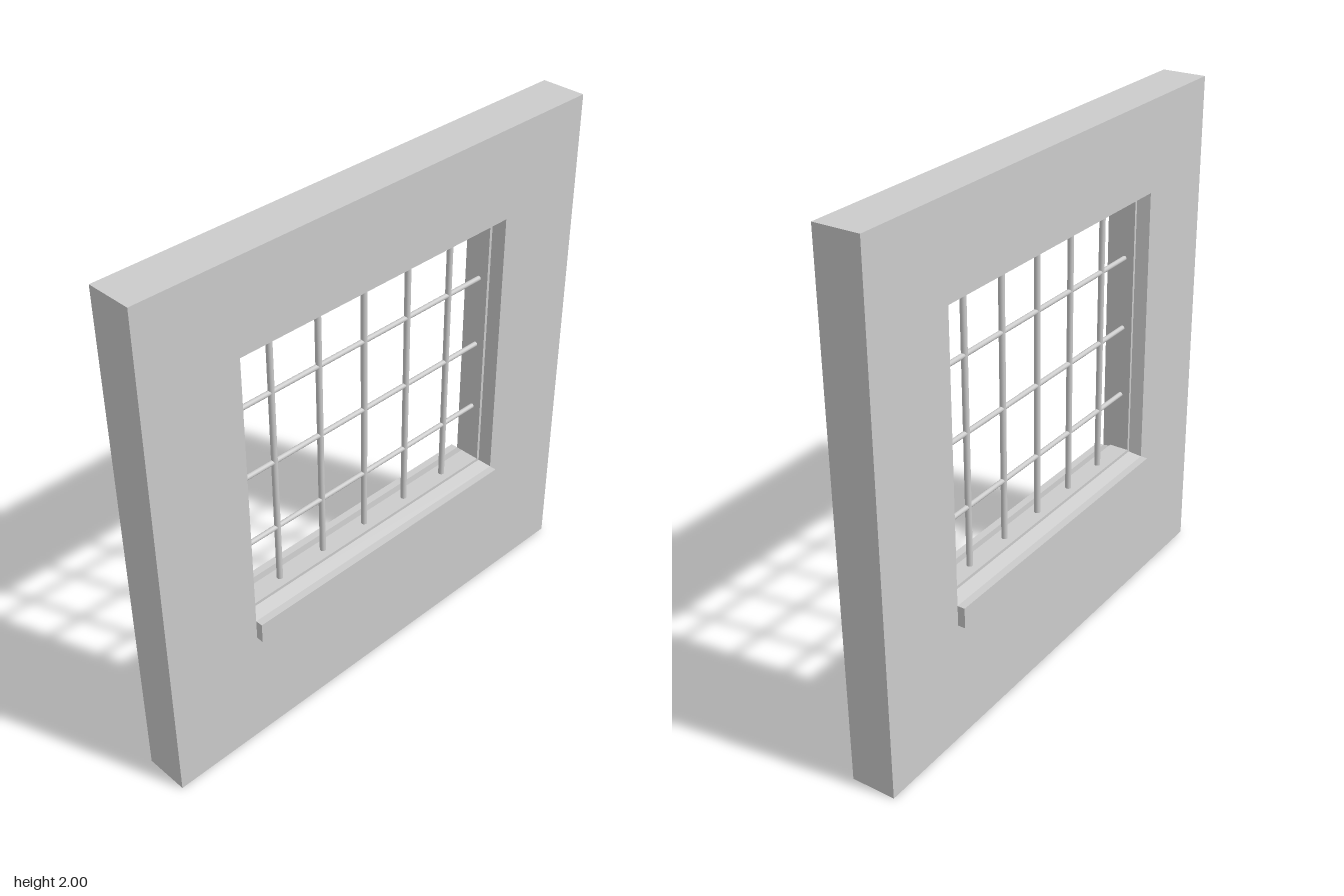
import * as THREE from 'three';

const material = new THREE.MeshStandardMaterial({ color: 0xcccccc, flatShading: true });
const smooth = new THREE.MeshStandardMaterial({ color: 0xcccccc });

// Rectangular ring of four corners, counter-clockwise from the front
const ring = (halfWidth, bottom, top, z) => [
  [-halfWidth, bottom, z], [halfWidth, bottom, z], [halfWidth, top, z], [-halfWidth, top, z],
];

// Skin a sequence of rings with flat quads
function skin(rings) {
  const positions = [];
  for (let r = 0; r < rings.length - 1; r++) {
    const a = rings[r], b = rings[r + 1];
    for (let i = 0; i < 4; i++) {
      const j = (i + 1) % 4;
      for (const p of [a[i], b[i], b[j], a[i], b[j], a[j]]) positions.push(...p);
    }
  }
  const geometry = new THREE.BufferGeometry();
  geometry.setAttribute('position', new THREE.Float32BufferAttribute(positions, 3));
  geometry.computeVertexNormals();
  return geometry;
}

export function createModel() {
  const group = new THREE.Group();
  const add = (name, geometry, mat = material) => {
    const mesh = new THREE.Mesh(geometry, mat);
    mesh.name = name;
    group.add(mesh);
    return mesh;
  };

  const wallZ = 0.0875, frameZ = 0.04;
  const outer = (z) => ring(1, 0, 2, z);
  const opening = (z) => ring(0.617, 0.555, 1.653, z);
  const frameOuter = (z) => ring(0.602, 0.57, 1.637, z);
  const frameInner = (z) => ring(0.59, 0.582, 1.625, z);

  // Wall with reveals tapering towards the frame on both sides
  add('wall', skin([
    frameOuter(frameZ), opening(wallZ), outer(wallZ),
    outer(-wallZ), opening(-wallZ), frameOuter(-frameZ),
  ]));

  // Window frame
  add('windowFrame', skin([
    frameOuter(-frameZ), frameInner(-frameZ), frameInner(frameZ), frameOuter(frameZ),
  ]));

  // Sill lips, front and back
  const sillDepth = 0.029;
  for (const side of [1, -1]) {
    const sill = add(side > 0 ? 'frontSill' : 'backSill', new THREE.BoxGeometry(1.234, 0.08, sillDepth));
    sill.position.set(0, 0.515, side * (wallZ + sillDepth / 2));
  }

  // Vertical bars
  for (let i = -2; i <= 2; i++) {
    const bar = add('verticalBar', new THREE.CylinderGeometry(0.0115, 0.0115, 1.05, 16), smooth);
    bar.position.set(i * 0.2125, 1.1035, 0);
  }

  // Horizontal bars
  for (let i = -1; i <= 1; i++) {
    const bar = add('horizontalBar', new THREE.CylinderGeometry(0.0095, 0.0095, 1.186, 16), smooth);
    bar.rotation.z = Math.PI / 2;
    bar.position.set(0, 1.105 + i * 0.285, 0);
  }

  return group;
}
